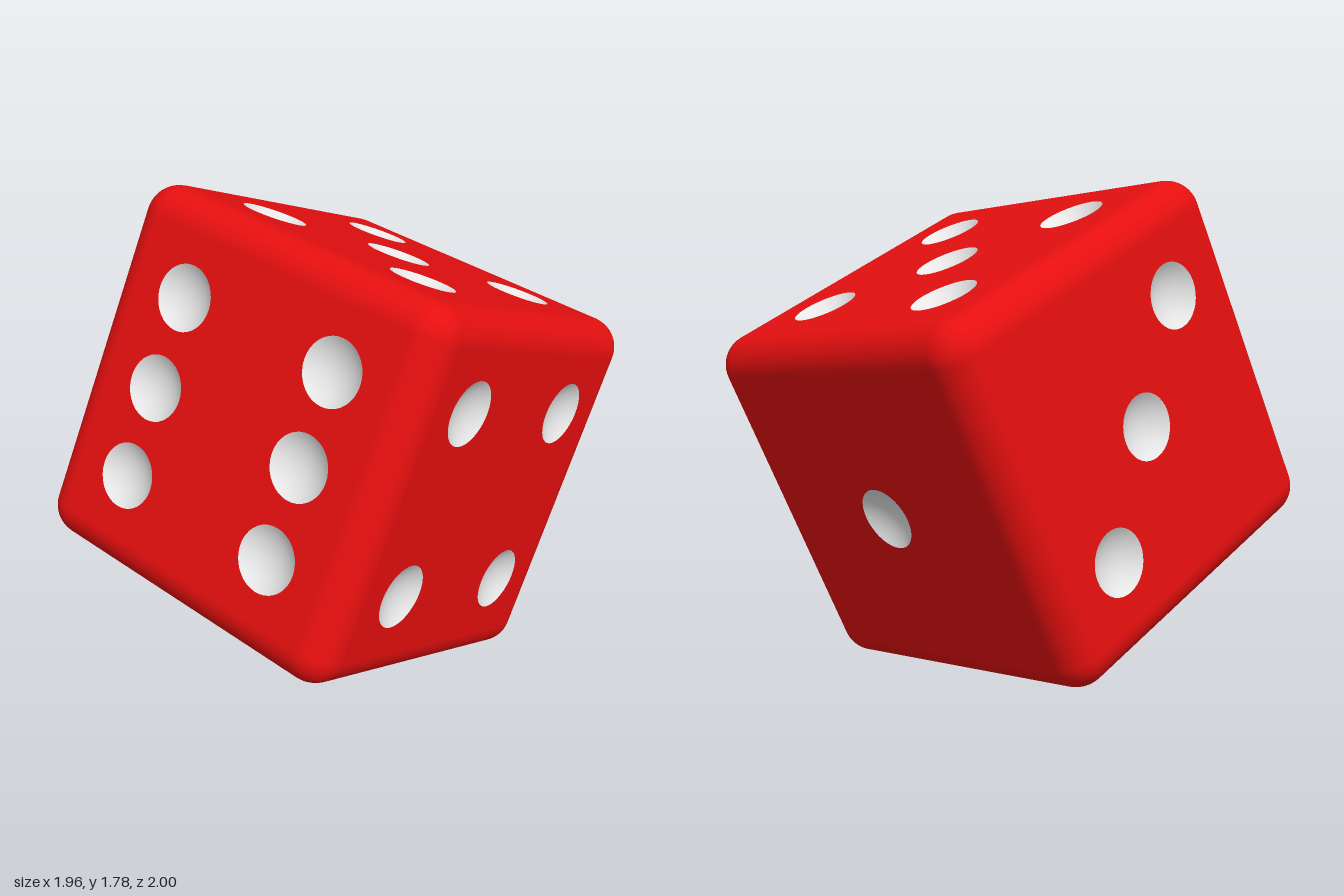
import * as THREE from 'three';
import { RoundedBoxGeometry } from 'three/addons/geometries/RoundedBoxGeometry.js';

const HALF = 0.665;   // half the die's edge length
const ROUND = 0.115;  // radius of the rounded edges
const STEP = 0.33;    // pip grid spacing
const PIP = 0.116;    // pip radius
const DEPTH = 0.04;   // pip depth

// Rounded edges and corners only: the flat centre of every side is left open.
function roundedEdges() {
  const box = new RoundedBoxGeometry(2 * HALF, 2 * HALF, 2 * HALF, 6, ROUND);
  const p = box.attributes.position, n = box.attributes.normal;
  const pos = [], nor = [];
  const isFlat = (i) => Math.max(Math.abs(n.getX(i)), Math.abs(n.getY(i)), Math.abs(n.getZ(i))) > 0.9999;
  for (let i = 0; i < p.count; i += 3) {
    if (isFlat(i) && isFlat(i + 1) && isFlat(i + 2)) continue;
    for (let k = i; k < i + 3; k++) {
      pos.push(p.getX(k), p.getY(k), p.getZ(k));
      nor.push(n.getX(k), n.getY(k), n.getZ(k));
    }
  }
  const g = new THREE.BufferGeometry();
  g.setAttribute('position', new THREE.Float32BufferAttribute(pos, 3));
  g.setAttribute('normal', new THREE.Float32BufferAttribute(nor, 3));
  return g;
}

// Flat square with a round hole for each pip.
function facePlate(spots) {
  const s = HALF - ROUND;
  const shape = new THREE.Shape([[-s, -s], [s, -s], [s, s], [-s, s]].map((c) => new THREE.Vector2(...c)));
  for (const [a, b] of spots) {
    shape.holes.push(new THREE.Path().absarc(a * STEP, b * STEP, PIP, 0, Math.PI * 2, true));
  }
  return new THREE.ShapeGeometry(shape, 18);
}

// Shallow spherical bowl, opening toward +z with its rim at z = 0.
function pipBowl() {
  const R = (PIP * PIP + DEPTH * DEPTH) / (2 * DEPTH);
  const max = Math.asin(PIP / R);
  const profile = [];
  for (let i = 8; i >= 0; i--) {
    const t = (max * i) / 8;
    profile.push(new THREE.Vector2(R * Math.sin(t), R - DEPTH - R * Math.cos(t)));
  }
  return new THREE.LatheGeometry(profile, 36).rotateX(Math.PI / 2);
}

export function createModel() {
  const red = new THREE.MeshStandardMaterial({ color: 0xe60f0f });
  red.name = 'red';
  const white = new THREE.MeshStandardMaterial({ color: 0xf2f2f2, side: THREE.DoubleSide });
  white.name = 'white';

  const X = new THREE.Vector3(1, 0, 0), Y = new THREE.Vector3(0, 1, 0), Z = new THREE.Vector3(0, 0, 1);
  const neg = (v) => v.clone().negate();
  const corners = [[-1, -1], [1, -1], [1, 1], [-1, 1]];

  // Each side: its two in-plane axes, its outward normal and its pip spots.
  const sides = [
    { name: 'sideOne', axes: [X, neg(Y), neg(Z)], spots: [[0, 0]] },
    { name: 'sideTwo', axes: [X, Z, neg(Y)], spots: [[-1, 0], [1, 0]] },
    { name: 'sideThree', axes: [Z, Y, neg(X)], spots: [[-1, -1], [0, 0], [1, 1]] },
    { name: 'sideFour', axes: [Y, Z, X], spots: corners },
    { name: 'sideFive', axes: [Z, X, Y], spots: [...corners, [0, 0]] },
    { name: 'sideSix', axes: [X, Y, Z], spots: [...corners, [-1, 0], [1, 0]] },
  ];

  const die = new THREE.Group();
  die.name = 'die';
  const edges = new THREE.Mesh(roundedEdges(), red);
  edges.name = 'roundedEdges';
  die.add(edges);

  const bowl = pipBowl();
  for (const { name, axes, spots } of sides) {
    const side = new THREE.Group();
    side.name = name;
    side.quaternion.setFromRotationMatrix(new THREE.Matrix4().makeBasis(...axes));
    side.position.copy(axes[2]).multiplyScalar(HALF);
    const plate = new THREE.Mesh(facePlate(spots), red);
    plate.name = 'facePlate';
    side.add(plate);
    for (const [a, b] of spots) {
      const pip = new THREE.Mesh(bowl, white);
      pip.name = 'pip';
      pip.position.set(a * STEP, b * STEP, 0);
      side.add(pip);
    }
    die.add(side);
  }

  // Tumbled pose, balanced on one corner.
  const u = new THREE.Vector3(0.854, -0.1, 0.51).normalize();
  const w = new THREE.Vector3(-0.43, 0.39, 0.816).addScaledVector(u, -u.dot(new THREE.Vector3(-0.43, 0.39, 0.816))).normalize();
  const v = new THREE.Vector3().crossVectors(w, u);
  die.quaternion.setFromRotationMatrix(new THREE.Matrix4().makeBasis(u, v, w));
  die.position.y = (HALF - ROUND) * (Math.abs(u.y) + Math.abs(v.y) + Math.abs(w.y)) + ROUND;

  const model = new THREE.Group();
  model.name = 'tumblingDie';
  model.add(die);
  return model;
}
